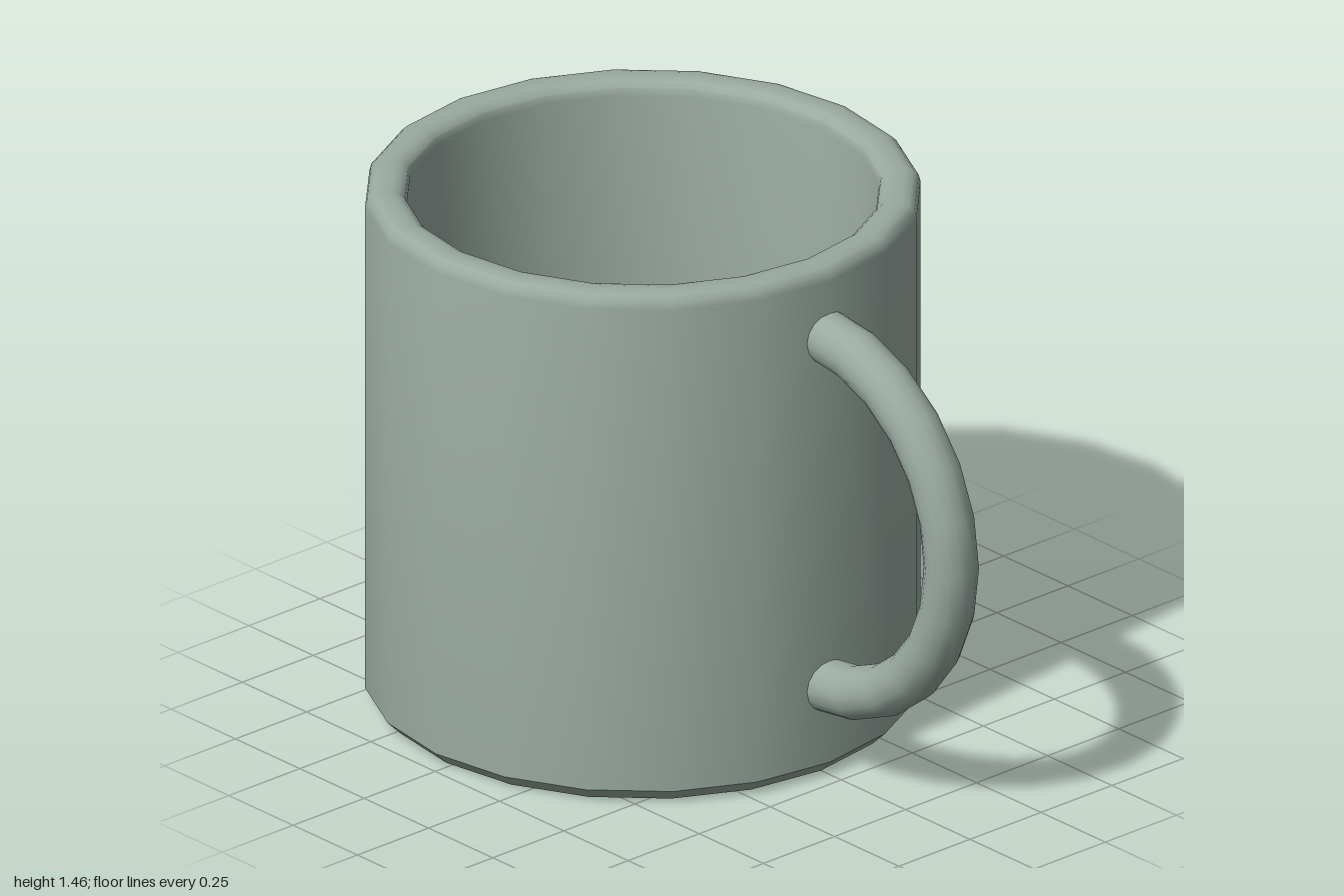
import * as THREE from 'three';
import { toCreasedNormals } from 'three/addons/utils/BufferGeometryUtils.js';

export function createModel() {
  const mug = new THREE.Group();
  mug.name = 'mug';
  const material = new THREE.MeshStandardMaterial({ color: 0x99aaa1 });

  // Cup: underside, foot chamfer, outer wall, rounded rim, inner wall, floor
  const profile = [
    [0, 0], [0.692, 0], [0.729, 0.037],
    [0.729, 1.418], [0.724, 1.438], [0.71, 1.452], [0.69, 1.457],
    [0.66, 1.457], [0.64, 1.452], [0.625, 1.438], [0.62, 1.418],
    [0.62, 0.137], [0.588, 0.1], [0, 0.1],
  ].map(([r, y]) => new THREE.Vector2(r, y));
  const cup = new THREE.Mesh(
    toCreasedNormals(new THREE.LatheGeometry(profile, 20), 0.6), material);
  cup.name = 'cup';
  cup.position.z = -0.271;
  mug.add(cup);

  // Handle: half ring whose ends sink into the cup wall
  const handle = new THREE.Mesh(
    new THREE.TorusGeometry(0.503, 0.072, 16, 12, Math.PI), material);
  handle.name = 'handle';
  handle.rotation.set(0, -Math.PI / 2, -Math.PI / 2, 'YXZ');
  handle.position.set(0, 0.755, 0.425);
  mug.add(handle);

  return mug;
}
